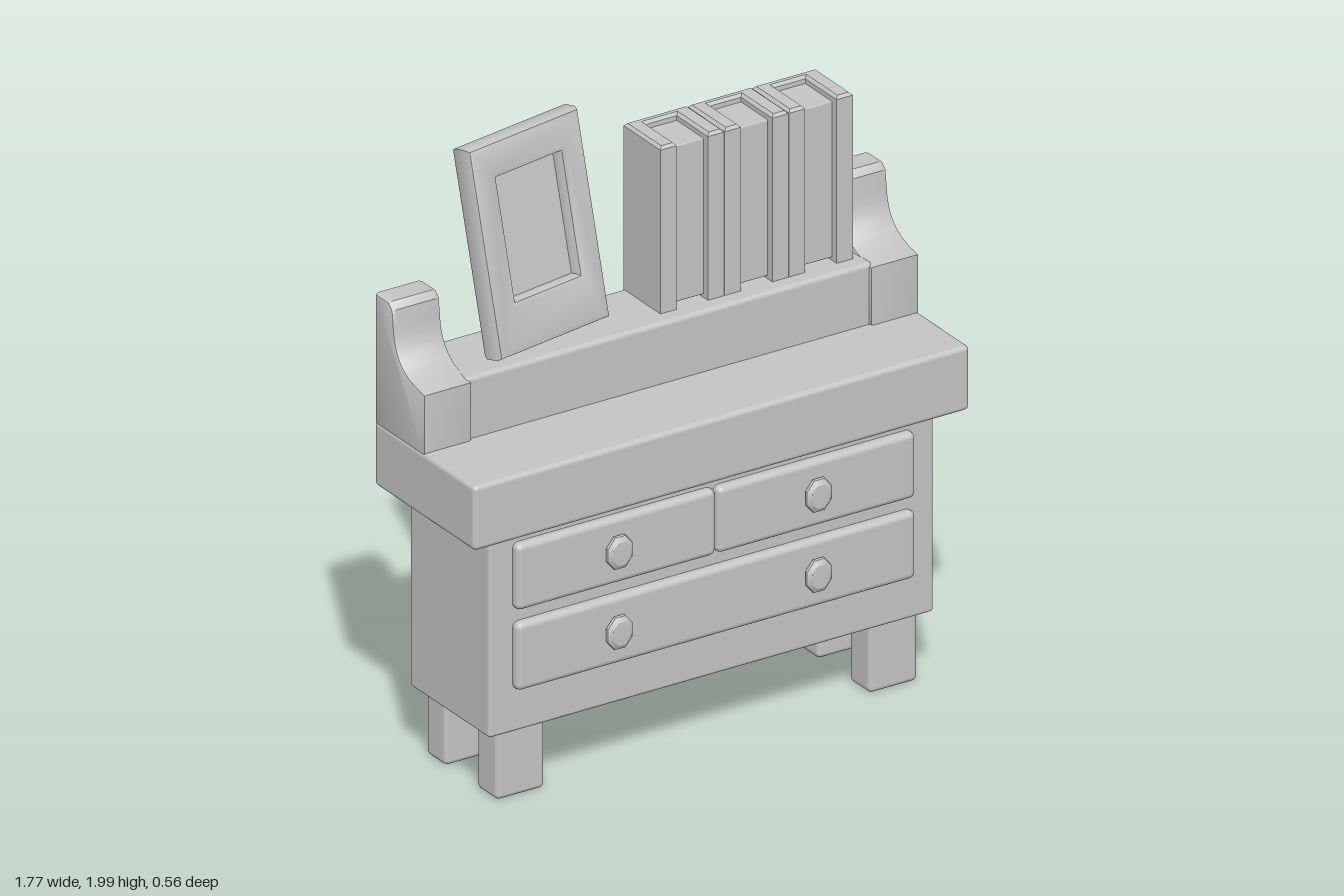
import * as THREE from 'three';
import { RoundedBoxGeometry } from 'three/addons/geometries/RoundedBoxGeometry.js';
import { toCreasedNormals } from 'three/addons/utils/BufferGeometryUtils.js';

const gray = new THREE.MeshStandardMaterial({ color: 0xc4c4c4 });
gray.name = 'plain gray';

function add(parent, name, geometry) {
  const mesh = new THREE.Mesh(geometry, gray);
  mesh.name = name;
  parent.add(mesh);
  return mesh;
}

// Soft-edged box given by its limits on each axis
function box(parent, name, [x0, x1], [y0, y1], [z0, z1], radius = 0.016) {
  const geometry = new RoundedBoxGeometry(x1 - x0, y1 - y0, z1 - z0, 2, radius);
  const mesh = add(parent, name, geometry);
  mesh.position.set((x0 + x1) / 2, (y0 + y1) / 2, (z0 + z1) / 2);
  return mesh;
}

// Bevelled extrusion of total depth, centred on z = 0
function slab(shape, depth, bevel, segments = 2) {
  const geometry = new THREE.ExtrudeGeometry(shape, {
    depth: depth - 2 * bevel, bevelEnabled: true, bevelSize: bevel, bevelThickness: bevel,
    bevelOffset: -bevel, bevelSegments: segments, curveSegments: 6,
  });
  geometry.translate(0, 0, bevel - depth / 2);
  return toCreasedNormals(geometry, 0.7);
}

function polygon(points) {
  return new THREE.Shape(points.map(([x, y]) => new THREE.Vector2(x, y)));
}

function makeDrawers(parent) {
  const z = [0.19, 0.25];
  box(parent, 'rightTopDrawer', [-0.715, -0.002], [0.64, 0.86], z, 0.02);
  box(parent, 'leftTopDrawer', [0.002, 0.712], [0.64, 0.86], z, 0.02);
  box(parent, 'bottomDrawer', [-0.715, 0.712], [0.372, 0.597], z, 0.02);

  // Eight-sided knobs, a little taller than wide
  const profile = [[0.028, 0], [0.034, 0.006], [0.052, 0.012], [0.05, 0.02], [0.036, 0.03], [0, 0.031]];
  const knob = new THREE.LatheGeometry(
    profile.map(([r, h]) => new THREE.Vector2(r, h)), 8, Math.PI / 8);
  knob.rotateX(Math.PI / 2);
  const creased = toCreasedNormals(knob, 0.5);
  for (const x of [-0.357, 0.355]) {
    for (const y of [0.75, 0.483]) {
      const mesh = add(parent, 'knob', creased);
      mesh.position.set(x, y, 0.244);
      mesh.scale.set(0.95, 1.14, 1);
    }
  }
}

// Side bracket with a hollow curve sweeping up to the back
function makeBrackets(parent) {
  const side = new THREE.Shape();
  side.moveTo(0, 1.1);
  side.lineTo(0, 1.305);
  side.lineTo(-0.06, 1.318);
  side.quadraticCurveTo(-0.165, 1.345, -0.172, 1.46);
  side.lineTo(-0.178, 1.515);
  side.lineTo(-0.2, 1.535);
  side.lineTo(-0.275, 1.535);
  side.lineTo(-0.275, 1.1);
  const geometry = slab(side, 0.175, 0.014);
  geometry.rotateY(-Math.PI / 2);
  for (const s of [-1, 1]) {
    add(parent, s > 0 ? 'leftBracket' : 'rightBracket', geometry).position.x = s * 0.799;
  }
}

function makeBooks(parent) {
  // Cover seen from above: two boards joined by the spine at the back
  const w = 0.114;
  const inner = 0.056;
  const cover = polygon([
    [-w, 0.065], [-inner, 0.065], [-inner, 0.236], [inner, 0.236],
    [inner, 0.065], [w, 0.065], [w, 0.267], [-w, 0.267],
  ]);
  const geometry = slab(cover, 0.565, 0.009, 1);
  geometry.rotateX(-Math.PI / 2);
  for (let i = 0; i < 3; i++) {
    const book = new THREE.Group();
    book.name = 'book';
    book.position.x = 0.115 + i * 0.23;
    add(book, 'cover', geometry).position.y = 1.587;
    box(book, 'pages', [-0.06, 0.06], [1.325, 1.845], [-0.245, -0.09], 0.004);
    parent.add(book);
  }
}

function makePictureFrame(parent) {
  const frame = new THREE.Group();
  frame.name = 'pictureFrame';
  frame.position.set(-0.405, 1.659, -0.152);
  frame.rotation.set(-0.21, 0.15, 0.01, 'YXZ');
  const rect = (w, h, y) => [[-w, y - h], [w, y - h], [w, y + h], [-w, y + h]];

  // Border with a sloping inner edge
  const border = polygon(rect(0.222, 0.334, 0));
  border.holes.push(new THREE.Path(
    rect(0.127, 0.193, 0.025).map(([x, y]) => new THREE.Vector2(x, y))));
  add(frame, 'frameBorder', slab(border, 0.09, 0.022, 2));
  const picture = add(frame, 'picture', new THREE.BoxGeometry(0.28, 0.42, 0.045));
  picture.position.set(0, 0.025, -0.02);

  // Tapered strut leaning out behind
  const strut = polygon([[-0.06, -0.29], [0.06, -0.29], [0.09, -0.25], [0.035, 0], [-0.035, 0], [-0.09, -0.25]]);
  const leg = add(frame, 'strut', slab(strut, 0.03, 0.004, 1));
  leg.position.set(0, -0.05, -0.045);
  leg.rotation.x = 0.3;
  parent.add(frame);
}

export function createModel() {
  const model = new THREE.Group();
  model.name = 'sideboard';

  // Legs
  for (const x of [[-0.755, -0.582], [0.578, 0.751]]) {
    for (const z of [[0.085, 0.197], [-0.192, -0.085]]) {
      box(model, z[0] > 0 ? 'frontLeg' : 'backLeg', x, [0, 0.25], z);
    }
  }

  // Cabinet, top and raised shelf
  box(model, 'cabinet', [-0.798, 0.794], [0.228, 0.92], [-0.216, 0.22], 0.012);
  box(model, 'tabletop', [-0.887, 0.887], [0.897, 1.112], [-0.275, 0.275]);
  box(model, 'shelf', [-0.73, 0.73], [1.095, 1.315], [-0.273, -0.012]);

  makeDrawers(model);
  makeBrackets(model);
  makeBooks(model);
  makePictureFrame(model);
  return model;
}
